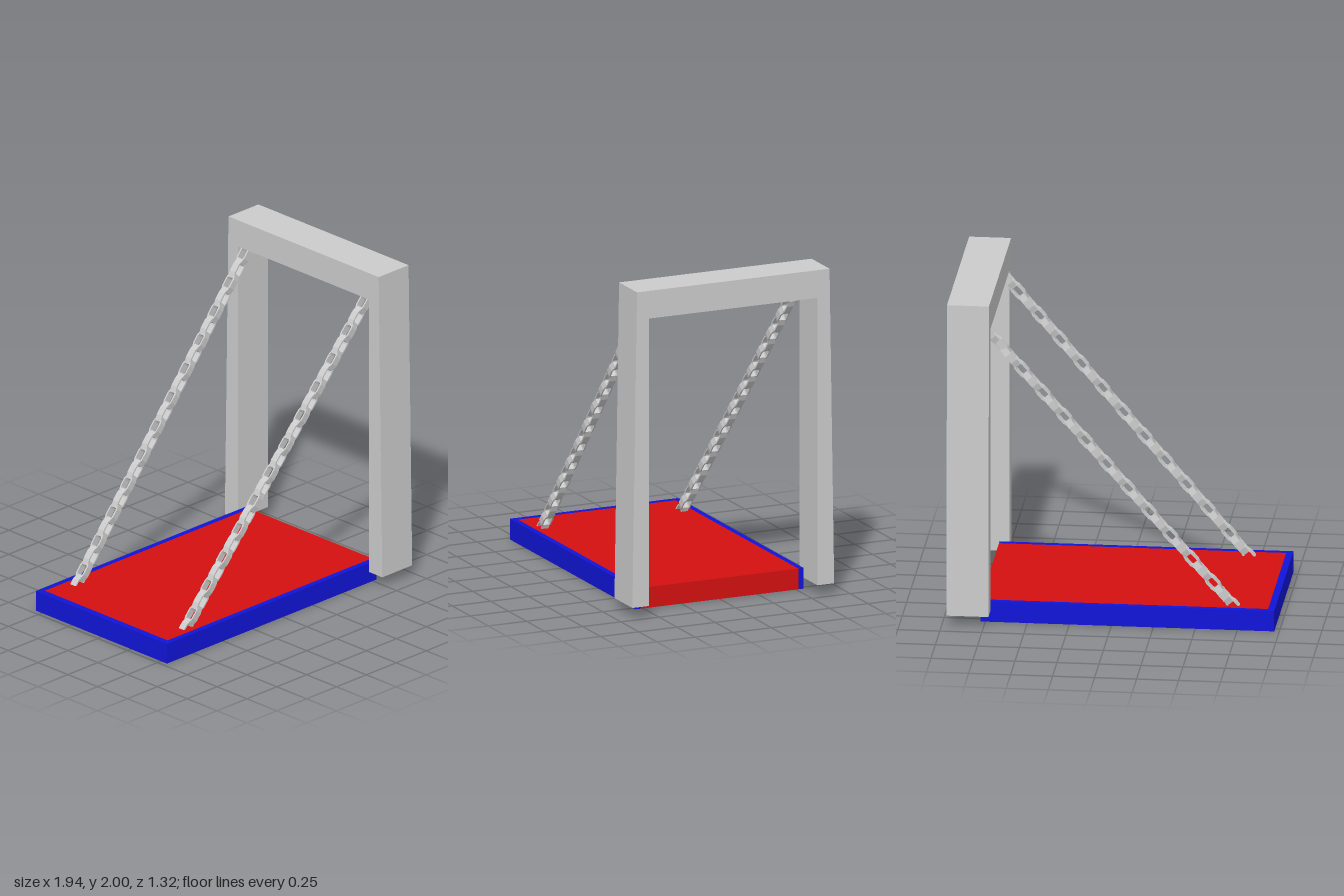
import * as THREE from 'three';

const material = (color) => new THREE.MeshStandardMaterial({ color, flatShading: true });

function createMesh(name, geometry, mat) {
  const mesh = new THREE.Mesh(geometry, mat);
  mesh.name = name;
  return mesh;
}

function box(name, mat, x0, x1, y0, y1, z0, z1) {
  const mesh = createMesh(name, new THREE.BoxGeometry(x1 - x0, y1 - y0, z1 - z0), mat);
  mesh.position.set((x0 + x1) / 2, (y0 + y1) / 2, (z0 + z1) / 2);
  return mesh;
}

// Elongated octagon, used for the outside and the hole of a link
function octagon(Target, halfLength, halfWidth, endHalf, straight) {
  const pts = [
    [halfLength, -endHalf], [halfLength, endHalf], [straight, halfWidth], [-straight, halfWidth],
    [-halfLength, endHalf], [-halfLength, -endHalf], [-straight, -halfWidth], [straight, -halfWidth],
  ];
  return new Target(pts.map(([x, y]) => new THREE.Vector2(x, y)));
}

export function createModel() {
  const model = new THREE.Group();
  model.name = 'drawbridge';
  const grey = material(0xcccccc);
  const red = material(0xd41010);
  const blue = material(0x1015d8);

  // Deck with a border on three sides
  const deckTop = 0.127;
  model.add(box('deck', red, -0.93, 0.78, 0, deckTop, -0.515, 0.515));
  model.add(box('deckEndBorder', blue, -0.97, -0.93, 0, deckTop, -0.55, 0.55));
  for (const s of [-1, 1]) {
    const border = box('deckSideBorder', blue, -0.93, 0.78, 0, deckTop, -0.0175, 0.0175);
    border.position.z = s * 0.5325;
    model.add(border);
  }

  // Gate frame: one arch outline with slightly battered legs
  const arch = new THREE.Shape([
    [-0.66, 0.067], [-0.55, 0.067], [-0.55, 1.83], [0.55, 1.83],
    [0.55, 0.067], [0.66, 0.067], [0.63, 2], [-0.63, 2],
  ].map(([z, y]) => new THREE.Vector2(z, y)));
  const gate = createMesh('gateFrame',
    new THREE.ExtrudeGeometry(arch, { depth: 0.25, bevelEnabled: false }), grey);
  gate.rotation.y = Math.PI / 2;
  gate.position.x = 0.72;
  model.add(gate);

  // Chain link: a thin, wide band bent into a loop
  const outline = octagon(THREE.Shape, 0.064, 0.031, 0.019, 0.026);
  outline.holes.push(octagon(THREE.Path, 0.053, 0.022, 0.012, 0.022));
  const linkGeometry = new THREE.ExtrudeGeometry(outline, { depth: 0.044, bevelEnabled: false });
  linkGeometry.translate(0, 0, -0.022);
  const patchGeometry = new THREE.BoxGeometry(0.003, 0.012, 0.04);

  // Two chains of links, every second one turned a quarter
  for (const s of [-1, 1]) {
    const chain = new THREE.Group();
    chain.name = s > 0 ? 'frontChain' : 'backChain';
    const low = new THREE.Vector3(-0.66, 0.19, s * 0.457);
    const high = new THREE.Vector3(0.726, 1.79, s * 0.5);
    const along = high.clone().sub(low).normalize();
    const up = new THREE.Vector3().crossVectors(new THREE.Vector3(0, 0, 1), along).normalize();
    const side = new THREE.Vector3().crossVectors(along, up);
    const turn = new THREE.Quaternion().setFromRotationMatrix(
      new THREE.Matrix4().makeBasis(along, up, side));
    const quarter = new THREE.Quaternion().setFromAxisAngle(new THREE.Vector3(1, 0, 0), Math.PI / 2);

    for (let i = -1; i <= 22; i++) {
      const link = new THREE.Group();
      link.name = 'chainLink';
      link.add(createMesh('linkBand', linkGeometry, grey));
      link.position.lerpVectors(low, high, i / 22);
      link.quaternion.copy(turn);
      if (i % 2 === 0) {
        link.quaternion.multiply(quarter);
        // Coloured half of the inner end
        const patch = createMesh('linkInlay', patchGeometry, blue);
        patch.position.set(-0.052, 0.006, 0);
        link.add(patch);
      }
      chain.add(link);
    }
    model.add(chain);
  }
  return model;
}
